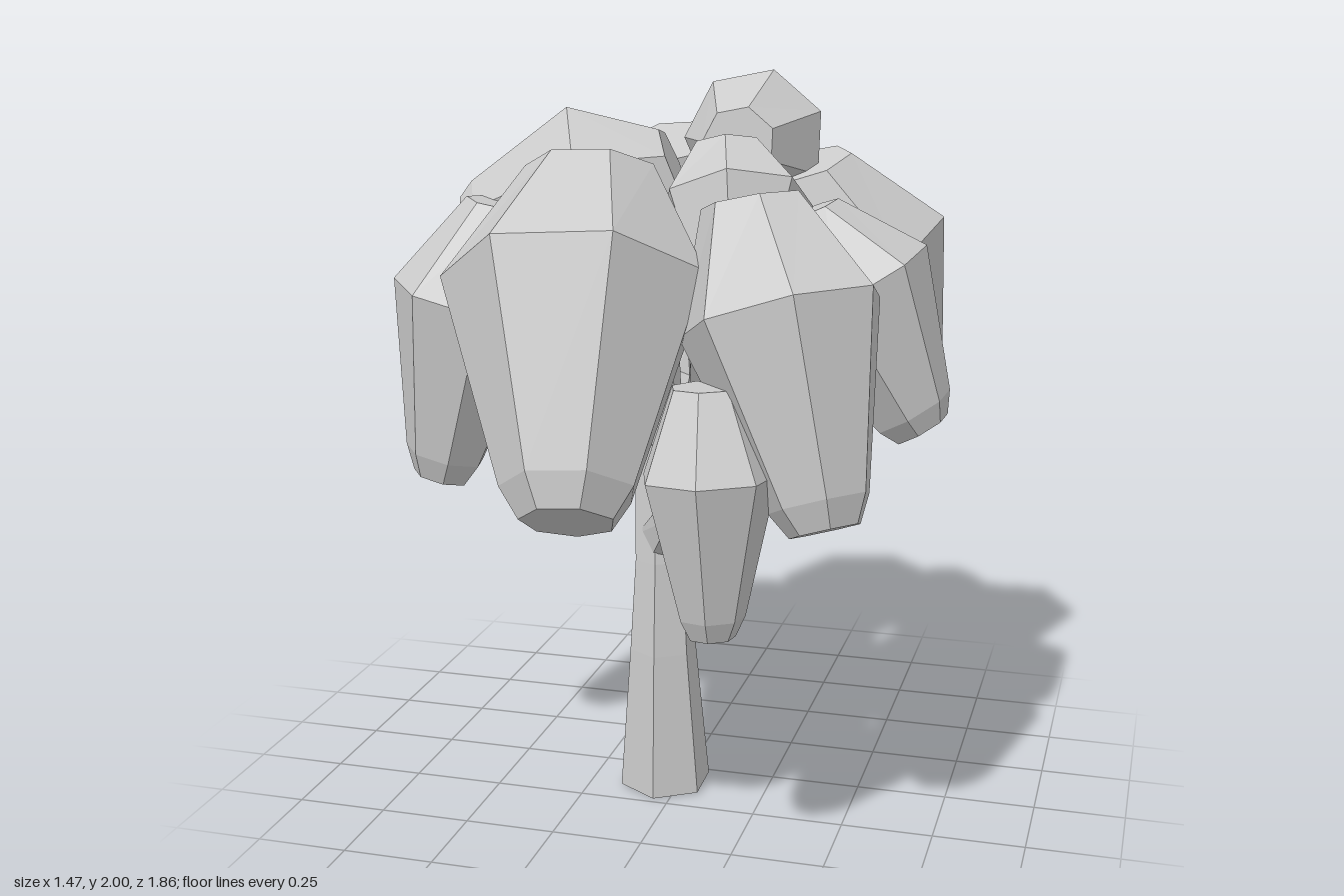
import * as THREE from 'three';

const material = new THREE.MeshStandardMaterial({ color: 0xcccccc, flatShading: true });
const { lerp } = THREE.MathUtils;

// Capped loft: one regular ring per centre, facing along dirs[i] with radii[i]
function loft(name, centres, radii, dirs, sides, phase) {
  const pos = [], index = [];
  centres.forEach((centre, i) => {
    const n = dirs[i].clone().normalize();
    const ref = Math.abs(n.z) > 0.8 ? new THREE.Vector3(0, 1, 0) : new THREE.Vector3(0, 0, 1);
    const u = ref.addScaledVector(n, -ref.dot(n)).normalize();
    const v = new THREE.Vector3().crossVectors(n, u);
    for (let k = 0; k < sides; k++) {
      const a = phase + (k / sides) * Math.PI * 2;
      const p = centre.clone()
        .addScaledVector(u, radii[i] * Math.cos(a)).addScaledVector(v, radii[i] * Math.sin(a));
      pos.push(p.x, p.y, p.z);
    }
  });
  const last = (centres.length - 1) * sides;
  for (let i = 0; i < last; i += sides) {
    for (let k = 0; k < sides; k++) {
      const a = i + k, b = i + (k + 1) % sides;
      index.push(a, b, b + sides, a, b + sides, a + sides);
    }
  }
  for (let k = 1; k < sides - 1; k++) index.push(0, k + 1, k, last, last + k, last + k + 1);
  const indexed = new THREE.BufferGeometry();
  indexed.setAttribute('position', new THREE.Float32BufferAttribute(pos, 3));
  indexed.setIndex(index);
  const geometry = indexed.toNonIndexed();
  geometry.computeVertexNormals();
  const mesh = new THREE.Mesh(geometry, material);
  mesh.name = name;
  return mesh;
}

// Six-sided limb along a bent path, flared at its foot
function limb(name, startRadius, endRadius, path) {
  const centres = path.map((p) => new THREE.Vector3(...p));
  const end = centres.length - 1;
  const dirs = centres.map((_, i) =>
    centres[Math.min(i + 1, end)].clone().sub(centres[Math.max(i - 1, 0)]));
  const radii = centres.map((_, i) => lerp(endRadius, startRadius, (1 - i / end) ** 4));
  return loft(name, centres, radii, dirs, 6, 0);
}

// Drooping leaf clump: small crown, wide shoulder pushed outward, long taper, blunt tip
function clump(name, crown, tip, radius, phase) {
  const a = new THREE.Vector3(...crown), d = new THREE.Vector3(...tip);
  const b = a.clone().lerp(d, 0.34);
  b.addScaledVector(new THREE.Vector3(b.x, 0, b.z).normalize(), 0.03);
  const c = b.clone().lerp(d, 0.87);
  const dir = d.clone().sub(a);
  // The crown ring lies a little flatter than the rest
  const crownDir = dir.clone().multiply(new THREE.Vector3(0.7, 1, 0.7));
  const radii = [0.5, 1, 0.5, 0.35].map((f) => f * radius);
  return loft(name, [a, b, c, d], radii, [crownDir, dir, dir, dir], 7, phase);
}

export function createModel() {
  const tree = new THREE.Group();
  tree.name = 'willowTree';

  // Trunk and its two bent boughs
  tree.add(limb('trunk', 0.13, 0.07, [
    [-0.045, 0.005, 0.1], [-0.045, 0.42, 0.12], [-0.045, 0.68, 0.12],
    [-0.06, 0.95, 0.09], [-0.07, 1.2, 0.1], [-0.08, 1.65, 0.1],
  ]));
  tree.add(limb('frontBough', 0.085, 0.04, [
    [-0.04, 0.73, 0.1], [0.06, 0.88, 0.26], [0.2, 0.93, 0.41],
    [0.28, 1.05, 0.45], [0.3, 1.22, 0.44], [0.28, 1.5, 0.4],
  ]));
  tree.add(limb('backBough', 0.07, 0.04, [
    [-0.06, 0.92, 0.09], [-0.08, 1, -0.04], [-0.11, 1.1, -0.27],
    [-0.12, 1.19, -0.31], [-0.14, 1.5, -0.34],
  ]));

  // Leaf clumps: crown centre, tip centre, shoulder radius
  const clumps = [
    ['topBackClump', [0.13, 1.82, -0.02], [0.08, 1.79, -0.53], 0.2, 0.25],
    ['topRightClump', [-0.04, 1.75, 0], [-0.6, 1.59, 0.1], 0.24, 0.35],
    ['topFrontClump', [0.13, 1.82, 0.09], [0.22, 1.42, 0.36], 0.2, 0.7],
    ['frontClump', [-0.17, 1.78, 0.33], [-0.07, 1, 0.85], 0.34, 1.2],
    ['frontLeftClump', [0.28, 1.73, 0.44], [0.52, 0.97, 0.66], 0.26, 1.4],
    ['leftClump', [0.32, 1.65, 0.1], [0.66, 1.09, 0.08], 0.23, 1.75],
    ['backLeftClump', [0.25, 1.74, -0.25], [0.52, 1.01, -0.47], 0.3, 2],
    ['backClump', [-0.14, 1.79, -0.39], [-0.15, 0.97, -0.74], 0.29, 2.45],
    ['backRightClump', [-0.37, 1.68, -0.25], [-0.61, 1.08, -0.25], 0.21, 2.8],
    ['frontRightClump', [-0.44, 1.67, 0.23], [-0.63, 0.92, 0.29], 0.22, 3.15],
    ['lowFrontClump', [0.22, 1.31, 0.67], [0.25, 0.69, 0.71], 0.17, 3.5],
    ['lowBackClump', [0.24, 1.38, -0.69], [0.22, 0.78, -0.75], 0.18, 3.85],
    ['lowBackRightClump', [-0.45, 1.33, -0.5], [-0.46, 0.71, -0.53], 0.17, 4.2],
  ];
  for (const c of clumps) tree.add(clump(...c));
  return tree;
}
